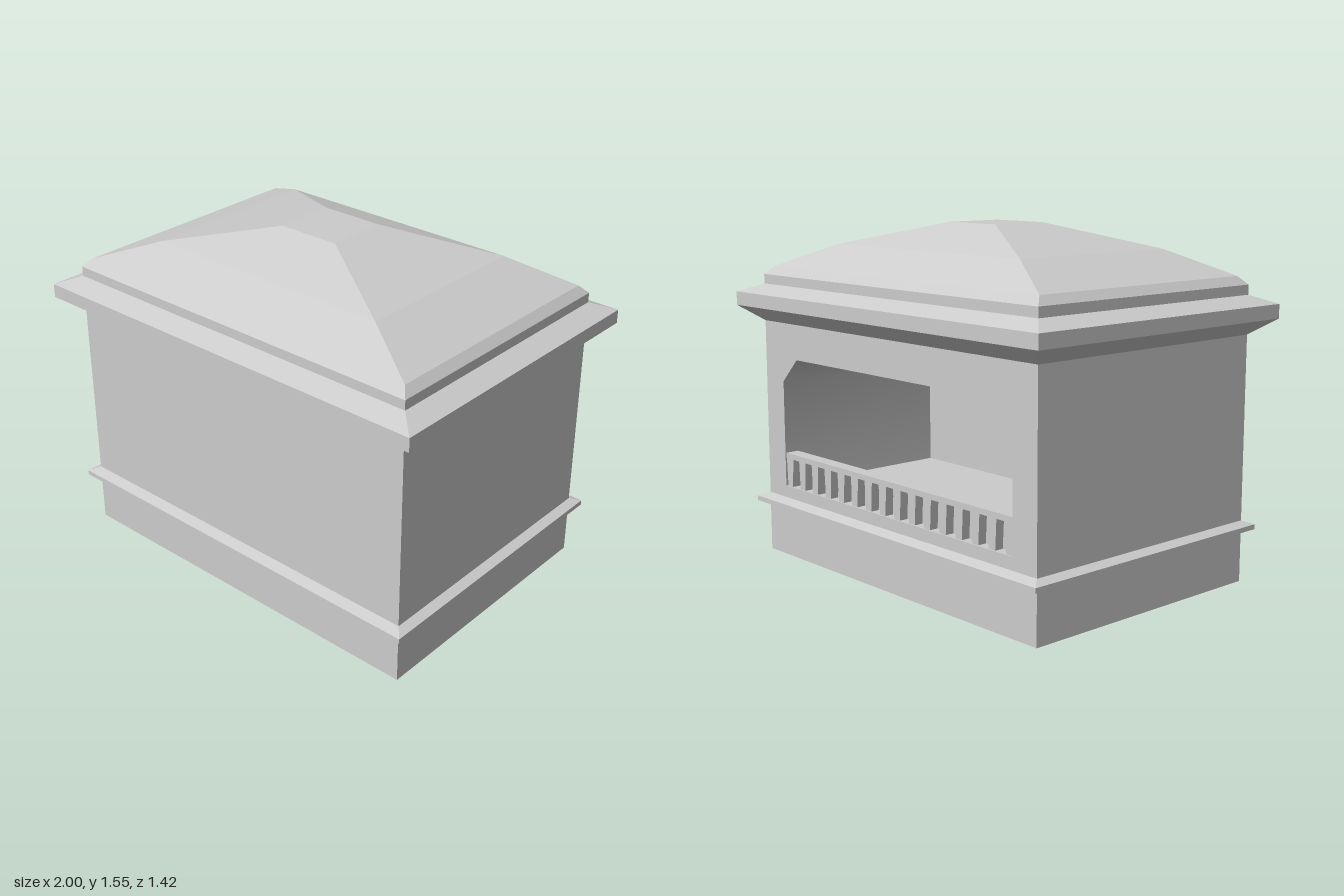
import * as THREE from 'three';
import { toCreasedNormals } from 'three/addons/utils/BufferGeometryUtils.js';

const HX = 0.905, HZ = 0.617;   // half width and half depth of the body
const WALL_TOP = 1.09, NICHE_Z = 0.25, SILL = 0.33, RAIL_TOP = 0.485;

const flat = new THREE.MeshStandardMaterial({ color: 0xcccccc, flatShading: true });
const smooth = new THREE.MeshStandardMaterial({ color: 0xcccccc });

// Closed solid through rectangular rings [halfX, halfZ, y], listed from bottom to top
function loft(rings) {
  const corners = rings.map(([x, z, y]) => [[x, y, z], [x, y, -z], [-x, y, -z], [-x, y, z]]);
  const pos = [];
  const quad = (a, b, c, d) => pos.push(...a, ...b, ...c, ...a, ...c, ...d);
  for (let r = 0; r < rings.length - 1; r++) {
    for (let i = 0; i < 4; i++) {
      const j = (i + 1) % 4;
      quad(corners[r][i], corners[r][j], corners[r + 1][j], corners[r + 1][i]);
    }
  }
  quad(...[...corners[0]].reverse());
  quad(...corners[corners.length - 1]);
  const geo = new THREE.BufferGeometry();
  geo.setAttribute('position', new THREE.Float32BufferAttribute(pos, 3));
  geo.computeVertexNormals();
  return geo;
}

function polygon(Type, points) {
  return new Type(points.map(([x, y]) => new THREE.Vector2(x, y)));
}

export function createModel() {
  const model = new THREE.Group();
  const add = (name, geo, mat = flat, parent = model) => {
    const mesh = new THREE.Mesh(geo, mat);
    mesh.name = name;
    parent.add(mesh);
    return mesh;
  };

  // Rear part of the body, pierced by a niche with chamfered upper corners
  const wall = polygon(THREE.Shape, [[-HX, 0], [HX, 0], [HX, WALL_TOP], [-HX, WALL_TOP]]);
  wall.holes.push(polygon(THREE.Path, [
    [-0.77, SILL], [-0.77, 0.82], [-0.66, 0.93], [0.66, 0.93], [0.77, 0.82], [0.77, SILL],
  ]));
  const rear = new THREE.ExtrudeGeometry(wall, { depth: NICHE_Z + HZ, bevelEnabled: false });
  rear.translate(0, 0, -HZ);
  add('bodyWithNiche', toCreasedNormals(rear, 1), smooth);

  // Solid front part, which closes the niche
  const front = new THREE.BoxGeometry(HX * 2, WALL_TOP, HZ - NICHE_Z);
  front.translate(0, WALL_TOP / 2, (HZ + NICHE_Z) / 2);
  add('bodyFront', front);

  // Thin moulding above the plinth
  add('plinthMoulding', loft([
    [HX, HZ, 0.22], [0.945, 0.662, 0.235], [0.945, 0.662, 0.257], [HX, HZ, 0.275],
  ]));

  // Overhanging cornice
  add('cornice', loft([
    [HX, HZ, WALL_TOP], [1, 0.708, 1.16], [1, 0.708, 1.222], [HX, HZ, 1.26],
  ]));

  // Faceted domed roof with a small flat top
  add('roof', loft([
    [HX, HZ, 1.26], [HX, HZ, 1.303], [0.872, 0.58, 1.34],
    [0.597, 0.42, 1.447], [0.147, 0.139, 1.553],
  ]));

  // Balustrade across the niche opening
  const balustrade = new THREE.Group();
  balustrade.name = 'balustrade';
  model.add(balustrade);
  const railBottom = RAIL_TOP - 0.025;
  add('handrail', new THREE.BoxGeometry(1.54, 0.025, 0.065), flat, balustrade)
    .position.set(0, RAIL_TOP - 0.0125, -0.58);
  add('backPanel', new THREE.BoxGeometry(1.54, railBottom - SILL, 0.02), flat, balustrade)
    .position.set(0, (railBottom + SILL) / 2, -0.56);
  const baluster = loft([[0.019, 0.02, SILL], [0.026, 0.02, railBottom]]);
  const count = 16;
  for (let i = 0; i < count; i++) {
    add('baluster', baluster, flat, balustrade)
      .position.set(-0.744 + (1.488 * i) / (count - 1), 0, -0.59);
  }

  return model;
}
